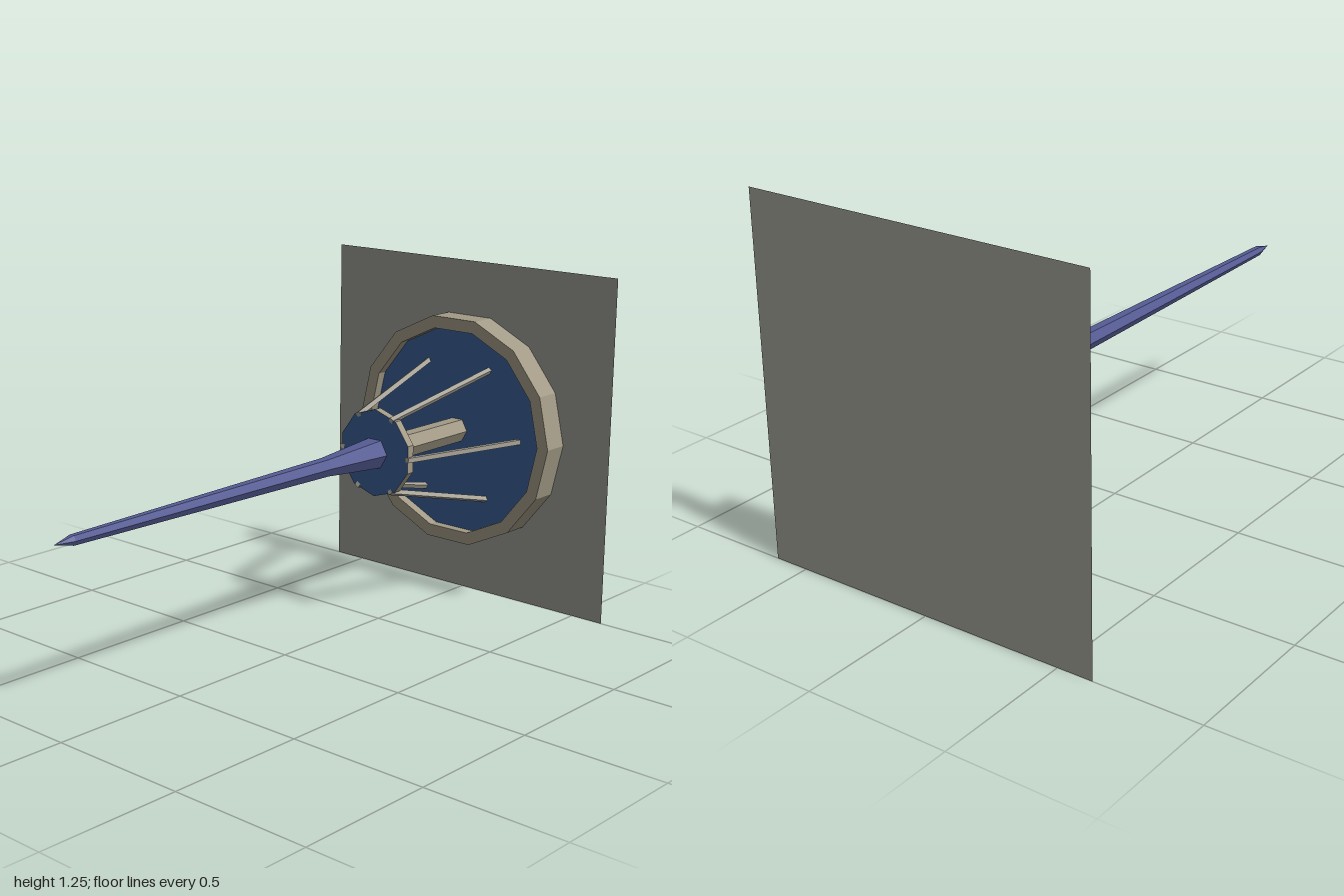
import * as THREE from 'three';

const CENTRE_Y = 0.627;

function material(color, side = THREE.FrontSide) {
  return new THREE.MeshStandardMaterial({ color, side, flatShading: true });
}

export function createModel() {
  const group = new THREE.Group();
  const stone = material(0xa29a86);
  const blue = material(0x3a5f98);
  const spikeBlue = material(0x555b94);
  const strutGrey = material(0xa8a498);

  // Faceted turned part along z; profile is [radius, z] with z rising on the outside
  function turned(name, profile, sides, phiStart, mat) {
    const points = profile.map(([r, z]) => new THREE.Vector2(r, z));
    const geometry = new THREE.LatheGeometry(points, sides, phiStart);
    geometry.rotateX(Math.PI / 2);
    const mesh = new THREE.Mesh(geometry, mat);
    mesh.name = name;
    mesh.position.y = CENTRE_Y;
    group.add(mesh);
    return mesh;
  }
  const side = Math.PI / 2; // first corner on the x axis

  // Flat square wall panel
  const wall = new THREE.Mesh(new THREE.PlaneGeometry(1.25, 1.25), material(0x9a9a92, THREE.DoubleSide));
  wall.name = 'wallPanel';
  wall.position.set(0, 0.625, -1);
  group.add(wall);

  // Round mount with a raised rim and a recessed face
  turned('mountRim', [[0.432, -0.999], [0.432, -0.903], [0.386, -0.903], [0.386, -0.942]], 14, side, stone);
  turned('mountFace', [[0.386, -0.94], [0, -0.94]], 14, side, blue);

  // Central shaft and hub
  turned('shaft', [[0.047, -0.945], [0.047, -0.54]], 6, side, stone);
  turned('hub', [[0, -0.555], [0.047, -0.555], [0.158, -0.495], [0.158, -0.465]], 10, 0, stone);
  turned('hubFace', [[0.158, -0.465], [0, -0.465]], 10, 0, blue);

  // Long tapering spike
  turned('spike', [[0.057, -0.466], [0.034, -0.2], [0.018, 0.93], [0, 1]], 6, side, spikeBlue);

  // Six splayed struts from mount to hub
  const outer = new THREE.Vector3(0.281, 0, -0.945);
  const inner = new THREE.Vector3(0.148, 0, -0.463);
  const direction = inner.clone().sub(outer);
  const strutGeometry = new THREE.BoxGeometry(0.017, 0.017, direction.length());
  strutGeometry.rotateY(Math.atan2(direction.x, direction.z));
  strutGeometry.translate((outer.x + inner.x) / 2, 0, (outer.z + inner.z) / 2);
  for (let i = 0; i < 6; i++) {
    const strut = new THREE.Mesh(strutGeometry, strutGrey);
    strut.name = `strut${i + 1}`;
    strut.position.y = CENTRE_Y;
    strut.rotation.z = (i * Math.PI) / 3;
    group.add(strut);
  }

  return group;
}
